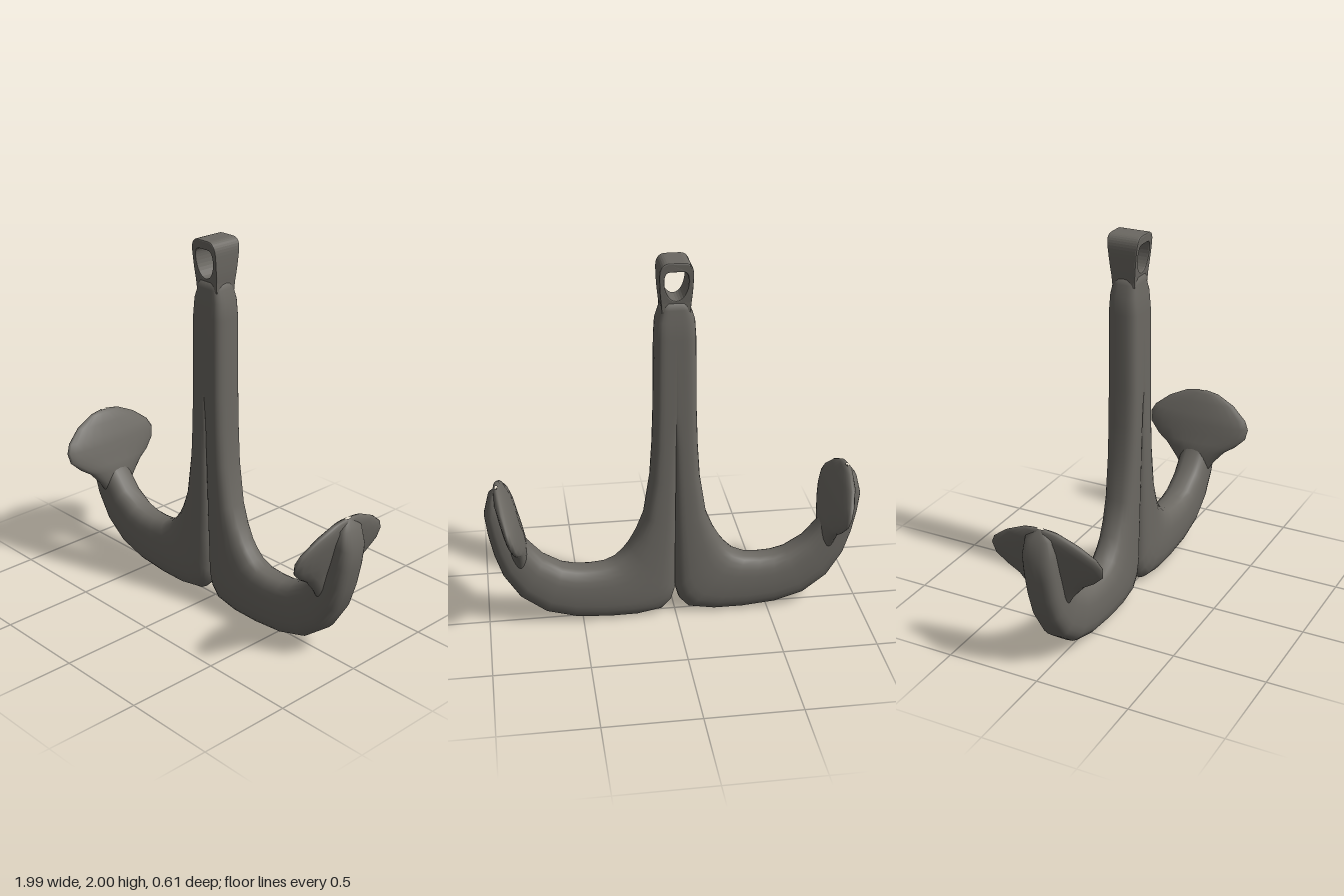
import * as THREE from 'three';

const STEPS = 12; // segments across each side of a section

// Loft through sections [innerX, innerY, outerX, outerY, halfDepth, seam].
// seam 1 = full depth at the inner edge, 0 = fully rounded; side -1 mirrors in x.
function loft(sections, side, power) {
  const pos = [], index = [], ring = 2 * (STEPS + 1);
  for (const [ix, iy, ox, oy, depth, seam = 0] of sections) {
    for (let i = 0; i < ring; i++) {
      const front = i <= STEPS;
      const a = Math.PI * (front ? i : ring - 1 - i) / STEPS;
      const c = Math.cos(a);
      const t = -Math.sign(c) * Math.abs(c) ** (2 / power);
      const rise = Math.max(0, Math.sin(a)) ** (2 / power);
      const u = (t + 1) / 2;
      const z = depth * (u < 0.5 ? seam + (1 - seam) * rise : rise);
      pos.push(side * (ix + (ox - ix) * u), iy + (oy - iy) * u, front ? z : -z);
    }
  }
  for (let j = 0; j < sections.length - 1; j++) {
    for (let i = 0; i < ring - 1; i++) {
      if (i === STEPS) continue; // both sides meet at the outer edge
      const a = j * ring + i, b = a + 1, c = a + ring, d = c + 1;
      if (side > 0) index.push(a, c, b, b, c, d);
      else index.push(a, b, c, b, d, c);
    }
  }
  const geo = new THREE.BufferGeometry();
  geo.setAttribute('position', new THREE.Float32BufferAttribute(pos, 3));
  geo.setIndex(index);
  geo.computeVertexNormals();

  // Smooth the shading over the joined edges
  const n = geo.attributes.normal, p = new THREE.Vector3(), q = new THREE.Vector3();
  const share = (a, b) => {
    p.fromBufferAttribute(n, a).add(q.fromBufferAttribute(n, b)).normalize();
    n.setXYZ(a, p.x, p.y, p.z);
    n.setXYZ(b, p.x, p.y, p.z);
  };
  sections.forEach((s, j) => {
    const first = j * ring, last = first + ring - 1;
    share(first + STEPS, first + STEPS + 1);
    if (!s[5]) share(first, last);
    if (s[5] === 1) {
      for (const k of [first, last]) {
        p.fromBufferAttribute(n, k).setX(0).normalize();
        n.setXYZ(k, p.x, p.y, p.z);
      }
    }
  });
  return geo;
}

// Half of the shank, bending out into one arm
const ARM = [
  [0, 1.797, 0.01, 1.797, 0.005, 1],
  [0, 1.79, 0.074, 1.79, 0.065, 1],
  [0, 1.75, 0.08, 1.75, 0.067, 1],
  [0, 1.69, 0.1, 1.69, 0.076, 1],
  [0, 1.6, 0.106, 1.6, 0.082, 1],
  [0, 1.2, 0.111, 1.2, 0.083, 1],
  [0, 1.0, 0.118, 1.0, 0.083, 0.75],
  [0, 0.8, 0.13, 0.82, 0.083, 0.58],
  [0, 0.55, 0.165, 0.6, 0.083, 0.38],
  [0, 0.35, 0.205, 0.5, 0.084, 0.2],
  [0, 0.15, 0.245, 0.43, 0.086, 0],
  [0.02, 0.08, 0.275, 0.39, 0.088],
  [0.07, 0.025, 0.32, 0.345, 0.09],
  [0.2, 0.002, 0.38, 0.318, 0.092],
  [0.36, 0.002, 0.46, 0.31, 0.093],
  [0.54, 0.018, 0.53, 0.313, 0.093],
  [0.7, 0.065, 0.6, 0.33, 0.093],
  [0.83, 0.165, 0.7, 0.39, 0.092],
  [0.915, 0.3, 0.775, 0.475, 0.09],
  [0.957, 0.43, 0.82, 0.55, 0.088],
  [0.982, 0.55, 0.85, 0.64, 0.087],
  [0.995, 0.66, 0.875, 0.71, 0.085],
  [0.97, 0.76, 0.905, 0.775, 0.07],
  [0.935, 0.808, 0.925, 0.808, 0.01],
];

// Fluke levels: y, centre x, half width, half thickness
const FLUKE = [
  [0.81, 0.925, 0.02, 0.008], [0.797, 0.92, 0.1, 0.022],
  [0.75, 0.908, 0.2, 0.036], [0.685, 0.886, 0.282, 0.042],
  [0.64, 0.872, 0.305, 0.045], [0.585, 0.858, 0.295, 0.045],
  [0.53, 0.842, 0.24, 0.046], [0.49, 0.832, 0.18, 0.047],
  [0.42, 0.825, 0.12, 0.047], [0.34, 0.82, 0.07, 0.03],
].map(([y, x, w, t]) => [x - t, y, x + t, y, w]);

// Eye at the top of the shank, flaring in depth upwards
function eyeGeometry() {
  const s = new THREE.Shape();
  s.moveTo(-0.066, 1.74);
  s.lineTo(0.066, 1.74);
  s.lineTo(0.07, 1.79);
  s.quadraticCurveTo(0.078, 1.85, 0.079, 1.93);
  s.quadraticCurveTo(0.08, 1.994, 0.035, 1.994);
  s.lineTo(-0.035, 1.994);
  s.quadraticCurveTo(-0.08, 1.994, -0.079, 1.93);
  s.quadraticCurveTo(-0.078, 1.85, -0.07, 1.79);
  s.closePath();
  const h = new THREE.Path();
  h.moveTo(0, 1.795);
  h.bezierCurveTo(-0.04, 1.795, -0.066, 1.85, -0.066, 1.9);
  h.quadraticCurveTo(-0.066, 1.958, -0.03, 1.958);
  h.lineTo(0.03, 1.958);
  h.quadraticCurveTo(0.066, 1.958, 0.066, 1.9);
  h.bezierCurveTo(0.066, 1.85, 0.04, 1.795, 0, 1.795);
  s.holes.push(h);
  const geo = new THREE.ExtrudeGeometry(s, {
    depth: 1.84, bevelThickness: 0.08, bevelSize: 0.006, bevelSegments: 2, curveSegments: 8,
  });
  geo.translate(0, 0, -0.92);
  const p = geo.attributes.position;
  for (let i = 0; i < p.count; i++) {
    const k = THREE.MathUtils.clamp((p.getY(i) - 1.76) / 0.22, 0, 1);
    p.setZ(i, p.getZ(i) * (0.062 + 0.024 * k));
  }
  geo.computeVertexNormals();
  return geo;
}

export function createModel() {
  const group = new THREE.Group();
  const iron = new THREE.MeshStandardMaterial({ color: 0x6b6862 });
  iron.name = 'dark iron';
  const add = (name, geo) => {
    const mesh = new THREE.Mesh(geo, iron);
    mesh.name = name;
    group.add(mesh);
  };
  for (const [label, side] of [['left', 1], ['right', -1]]) {
    add(label + 'ShankAndArm', loft(ARM, side, 2.7));
    add(label + 'Fluke', loft(FLUKE, side, 2));
  }
  add('eye', eyeGeometry());
  return group;
}
